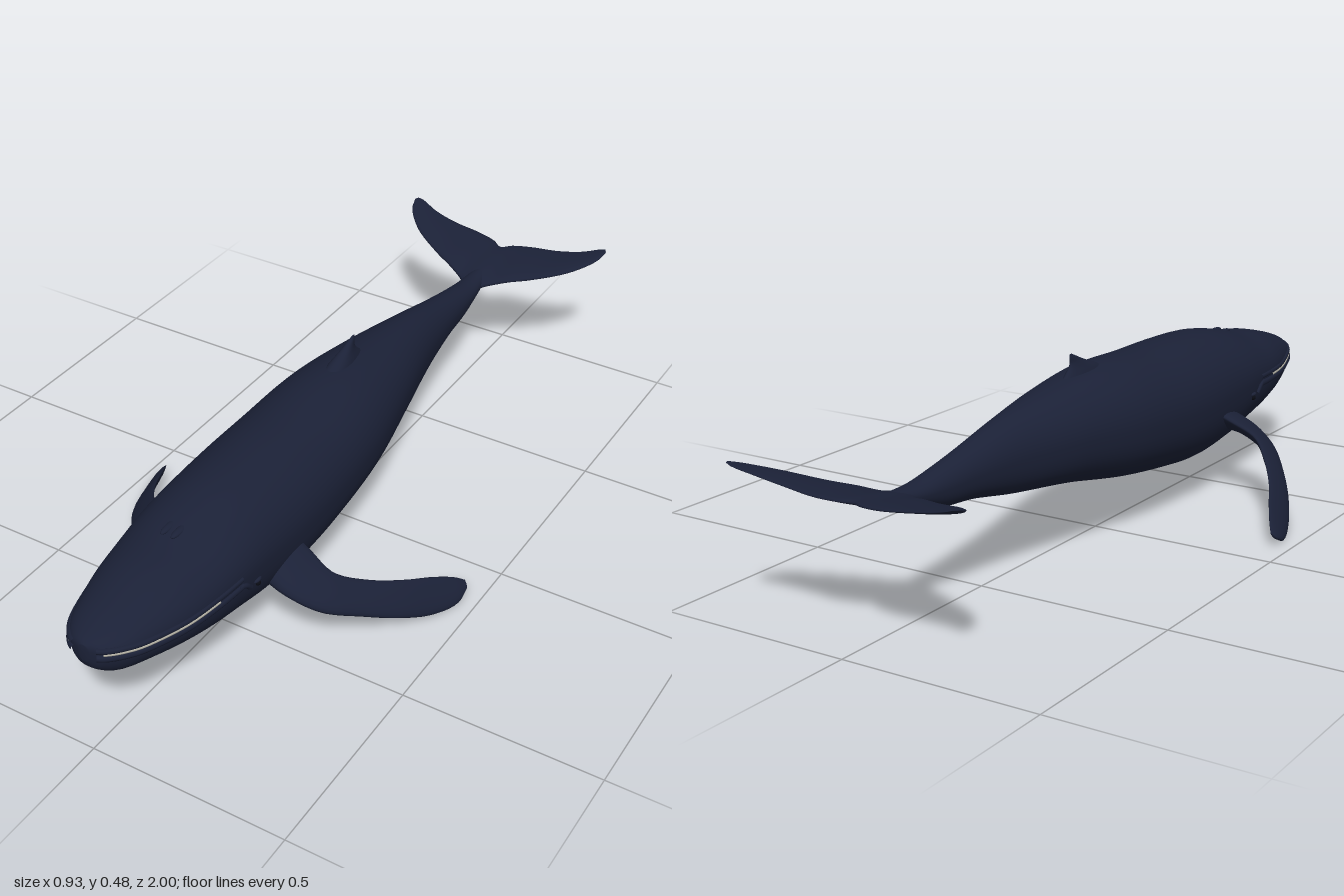
import * as THREE from 'three';

const skin = new THREE.MeshStandardMaterial({ color: 0x1b2137 });
const pale = new THREE.MeshStandardMaterial({ color: 0xb8b5a8 });
const dark = new THREE.MeshStandardMaterial({ color: 0x0a0c14 });
const V = (x, y, z) => new THREE.Vector3(x, y, z);
const smooth = (pts) => new THREE.CatmullRomCurve3(pts, false, 'centripetal');

// Skin over a row of closed rings, with a fan closing each end.
// Rings run counter-clockwise seen from the first end.
function loft(rings) {
  const n = rings[0].length, pos = [], idx = [];
  rings.forEach((r) => r.forEach((p) => pos.push(p.x, p.y, p.z)));
  for (let i = 0; i < rings.length - 1; i++) {
    for (let j = 0; j < n; j++) {
      const a = i * n + j, b = i * n + (j + 1) % n;
      idx.push(a, a + n, b, b, a + n, b + n);
    }
  }
  [0, rings.length - 1].forEach((i) => {
    const mid = V(0, 0, 0);
    rings[i].forEach((p) => mid.addScaledVector(p, 1 / n));
    const c = pos.length / 3;
    pos.push(mid.x, mid.y, mid.z);
    for (let j = 0; j < n; j++) {
      const a = i * n + j, b = i * n + (j + 1) % n;
      if (i === 0) idx.push(c, a, b); else idx.push(c, b, a);
    }
  });
  const g = new THREE.BufferGeometry();
  g.setAttribute('position', new THREE.Float32BufferAttribute(pos, 3));
  g.setIndex(idx);
  g.computeVertexNormals();
  return g;
}

// Body stations: z, top, bottom, half width, height of the widest level
const stations = [
  [0.999, 0.31, 0.265, 0.012, 0.295], [0.985, 0.32, 0.238, 0.045, 0.294],
  [0.95, 0.333, 0.212, 0.076, 0.291], [0.9, 0.348, 0.2, 0.1, 0.285],
  [0.8, 0.372, 0.178, 0.13, 0.278], [0.7, 0.387, 0.153, 0.147, 0.278],
  [0.6, 0.41, 0.133, 0.157, 0.28], [0.5, 0.425, 0.112, 0.162, 0.275],
  [0.35, 0.431, 0.1, 0.167, 0.27], [0.2, 0.432, 0.112, 0.165, 0.272],
  [0, 0.437, 0.14, 0.153, 0.285], [-0.2, 0.418, 0.178, 0.118, 0.3],
  [-0.4, 0.39, 0.205, 0.074, 0.3], [-0.55, 0.358, 0.233, 0.052, 0.297],
  [-0.66, 0.336, 0.245, 0.041, 0.293], [-0.75, 0.322, 0.272, 0.032, 0.297],
  [-0.85, 0.324, 0.295, 0.018, 0.31],
];
const outline = smooth(stations.map((s) => V(s[1], s[2], s[0])));
const girth = new THREE.CatmullRomCurve3(stations.map((s) => V(s[3], s[4], s[0])), false, 'catmullrom', 0.5);
const profile = new THREE.CatmullRomCurve3(outline.points, false, 'catmullrom', 0.5);

// Point on the body at u (0 nose, 1 tail) and angle a (0 = left side, PI/2 = back)
function bodyPoint(u, a) {
  const p = profile.getPoint(u), g = girth.getPoint(u);
  const c = Math.cos(a), s = Math.sin(a);
  const e = s < 0 ? 0.82 : 1; // fuller belly
  const x = g.x * Math.sign(c) * Math.abs(c) ** e;
  const y = s < 0 ? g.y - (g.y - p.y) * Math.abs(s) ** e : g.y + (p.x - g.y) * s;
  return V(x, y, p.z);
}

function bodyGeometry() {
  const rings = [];
  for (let i = 0; i <= 110; i++) {
    const ring = [];
    for (let j = 0; j < 48; j++) ring.push(bodyPoint(i / 110, j / 48 * Math.PI * 2));
    rings.push(ring);
  }
  return loft(rings);
}

// Fin from sections: leading edge, trailing edge, half thickness
function finGeometry(sections, steps = 36, around = 20) {
  const lead = smooth(sections.map((s) => V(...s[0])));
  const trail = smooth(sections.map((s) => V(...s[1])));
  const thick = smooth(sections.map((s, i) => V(s[2], i * 0.02, 0)));
  const centre = (t) => lead.getPoint(t).add(trail.getPoint(t));
  const rings = [];
  for (let i = 0; i <= steps; i++) {
    const t = i / steps, L = lead.getPoint(t), T = trail.getPoint(t);
    const span = centre(Math.min(1, t + 0.02)).sub(centre(Math.max(0, t - 0.02)));
    const normal = L.clone().sub(T).cross(span).normalize();
    const h = Math.max(0.001, thick.getPoint(t).x);
    const ring = [];
    for (let j = 0; j < around; j++) {
      const a = j / around * Math.PI * 2, c = (1 + Math.cos(a)) / 2;
      // rounder at the leading edge, finer at the trailing edge
      ring.push(T.clone().lerp(L, c).addScaledVector(normal, h * Math.sin(a) * (0.6 + 0.5 * c)));
    }
    rings.push(ring);
  }
  return loft(rings);
}

const mirrorX = (sections) => sections.map(([l, t, h]) => [[-l[0], l[1], l[2]], [-t[0], t[1], t[2]], h]);

const flipper = [
  [[0.12, 0.185, 0.5], [0.12, 0.25, 0.375], 0.034],
  [[0.19, 0.168, 0.508], [0.185, 0.218, 0.388], 0.024],
  [[0.265, 0.13, 0.478], [0.25, 0.185, 0.395], 0.018],
  [[0.335, 0.09, 0.4], [0.31, 0.147, 0.338], 0.015],
  [[0.39, 0.05, 0.32], [0.365, 0.113, 0.258], 0.013],
  [[0.432, 0.016, 0.235], [0.402, 0.085, 0.185], 0.012],
  [[0.459, 0.005, 0.155], [0.432, 0.058, 0.13], 0.01],
  [[0.461, 0.022, 0.113], [0.449, 0.038, 0.103], 0.004],
];

const fluke = [
  [[0.045, 0.3, -0.78], [0.03, 0.337, -0.962], 0.014],
  [[0.09, 0.312, -0.805], [0.085, 0.342, -0.975], 0.012],
  [[0.15, 0.323, -0.836], [0.165, 0.352, -0.977], 0.01],
  [[0.24, 0.347, -0.89], [0.235, 0.366, -0.986], 0.008],
  [[0.295, 0.371, -0.95], [0.284, 0.381, -1], 0.005],
  [[0.306, 0.384, -0.985], [0.3, 0.386, -0.998], 0.002],
];
const flukeRoot = [[0, 0.292, -0.745], [0, 0.333, -0.945], 0.018];

const dorsal = [
  [[0, 0.405, 0.07], [0, 0.39, -0.19], 0.042],
  [[0, 0.438, 0], [0, 0.432, -0.135], 0.026],
  [[0, 0.46, -0.06], [0, 0.455, -0.116], 0.013],
  [[0, 0.474, -0.092], [0, 0.472, -0.118], 0.006],
  [[0, 0.481, -0.108], [0, 0.48, -0.117], 0.002],
];

// Strip along the mouth line, from nose to cheek on both sides
function mouthStrip(drop, radius, out, from, to, side) {
  const pts = [];
  for (let i = 0; i <= 18; i++) {
    const p = bodyPoint(from + (to - from) * i / 18, 0);
    pts.push(V(side * (p.x + out), p.y - drop, p.z));
  }
  return new THREE.TubeGeometry(smooth(pts), 60, radius, 8);
}

export function createModel() {
  const whale = new THREE.Group();
  whale.name = 'whale';
  const add = (name, geometry, material = skin) => {
    const m = new THREE.Mesh(geometry, material);
    m.name = name;
    whale.add(m);
    return m;
  };

  add('body', bodyGeometry());
  add('dorsalFin', finGeometry(dorsal, 20));
  add('tailFlukes', finGeometry([...mirrorX(fluke).reverse(), flukeRoot, ...fluke], 72));

  [[1, 'left'], [-1, 'right']].forEach(([side, word]) => {
    add(word + 'Flipper', finGeometry(side > 0 ? flipper : mirrorX(flipper)));

    // Mouth: lower lip, upper lip and the baleen showing between them
    add(word + 'LowerLip', mouthStrip(0.012, 0.009, -0.003, 0.04, 0.36, side));
    add(word + 'UpperLip', mouthStrip(-0.007, 0.007, -0.003, 0.04, 0.36, side));
    add(word + 'Baleen', mouthStrip(0.001, 0.004, 0, 0.06, 0.31, side), pale);

    // Corner of the mouth turning down towards the eye
    const corner = smooth([V(0.151, 0.272, 0.64), V(0.155, 0.263, 0.615), V(0.155, 0.246, 0.597)]);
    corner.points.forEach((p) => { p.x *= side; });
    add(word + 'MouthCorner', new THREE.TubeGeometry(corner, 16, 0.007, 8));

    // Eye with a brow fold
    const eye = add(word + 'Eye', new THREE.SphereGeometry(0.007, 16, 12), dark);
    eye.position.set(side * 0.157, 0.24, 0.57);
    const brow = add(word + 'Brow', new THREE.SphereGeometry(0.012, 16, 12));
    brow.position.set(side * 0.155, 0.249, 0.57);
    brow.scale.set(0.7, 0.5, 1.3);
  });

  // Paired blowhole ridges on top of the head
  [-1, 1].forEach((side) => {
    const ridge = add('blowholeRidge', new THREE.SphereGeometry(0.02, 16, 12));
    ridge.position.set(side * 0.014, 0.392, 0.66);
    ridge.scale.set(0.5, 0.35, 1.6);
  });
  return whale;
}
